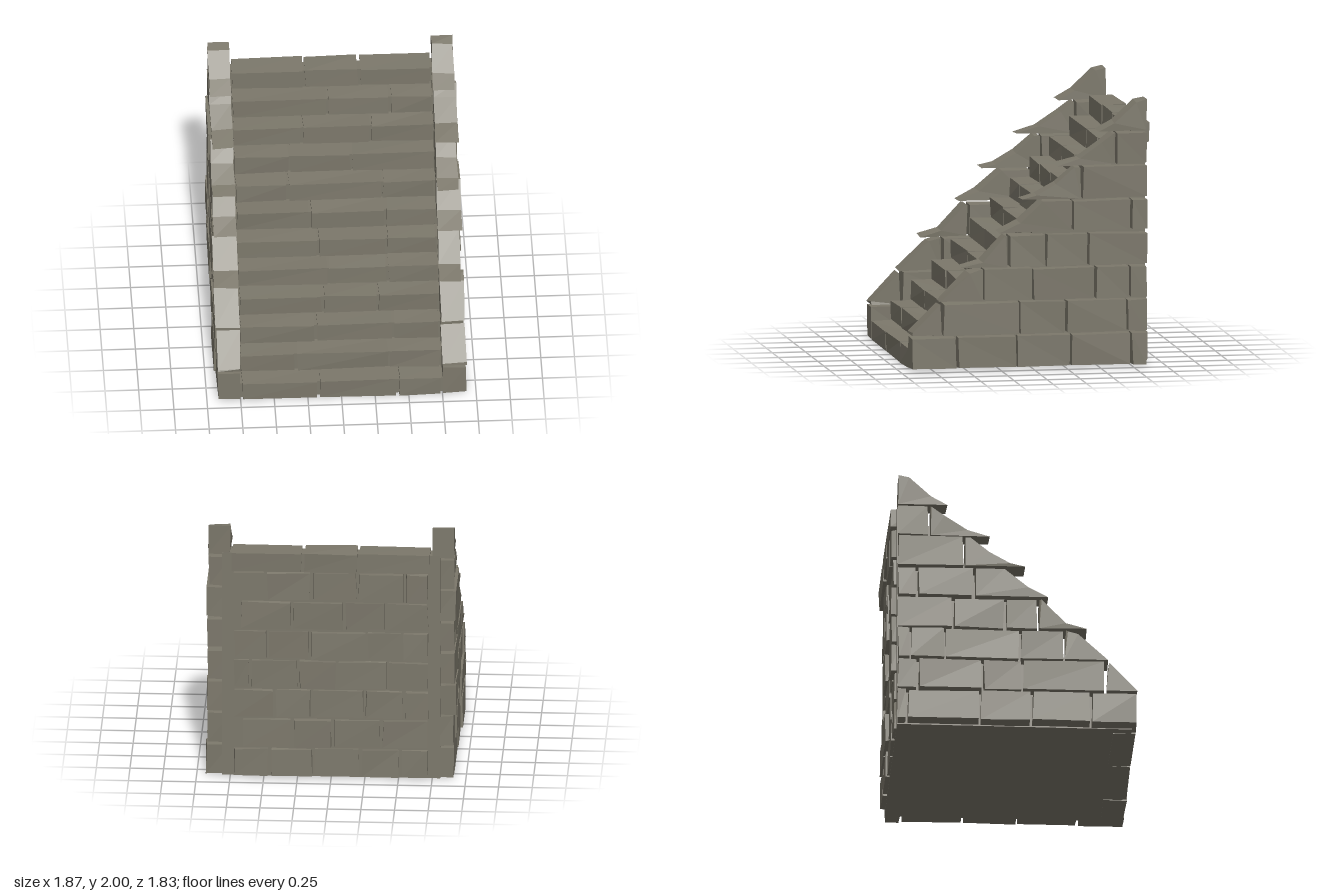
import * as THREE from 'three';

const stone = new THREE.MeshStandardMaterial({ color: 0x7c786b });
stone.name = 'weatheredStone';
stone.flatShading = true;

// Repeatable pseudo-random value in -1..1
const noise = (a, b, c, d) => {
  const s = Math.sin(a * 12.99 + b * 78.23 + c * 37.72 + d * 4.17) * 43758.55;
  return (s - Math.floor(s)) * 2 - 1;
};

let seed = 0;

// Extrudes a [z, y] outline from x0 to x1 and nudges its corners for a rough-hewn look
function block(name, outline, x0, x1, rough = 0.006) {
  const shape = new THREE.Shape(outline.map(([z, y]) => new THREE.Vector2(z, y)));
  const geo = new THREE.ExtrudeGeometry(shape, { depth: x1 - x0, bevelEnabled: false });
  geo.rotateY(-Math.PI / 2);
  geo.translate(x1, 0, 0);
  seed++;
  const p = geo.attributes.position;
  for (let i = 0; i < p.count; i++) {
    const v = [p.getX(i), p.getY(i), p.getZ(i)].map((n) => Math.round(n * 1000) / 1000);
    const [x, y, z] = v.map((n, k) => n + rough * noise(v[0], v[1], v[2], seed * 3 + k));
    p.setXYZ(i, x, THREE.MathUtils.clamp(y, 0, 2), z);
  }
  geo.computeVertexNormals();
  const mesh = new THREE.Mesh(geo, stone);
  mesh.name = name;
  return mesh;
}

const rect = (z0, z1, y0, y1) => [[z0, y0], [z1, y0], [z1, y1], [z0, y1]];

// Two joints across each step, bottom to top
const STEP_JOINTS = [
  [-0.17, 0.42], [-0.33, 0.36], [-0.18, 0.4], [-0.12, 0.29], [-0.07, 0.37], [-0.14, 0.37],
  [-0.19, 0.37], [-0.35, 0.35], [-0.33, 0.13], [-0.23, 0.28], [-0.03, 0.43], [-0.2, 0.21],
];
const stepFront = (i) => 0.91 - 0.149 * i;

// Side wall courses: sloping front edge [z, y] and joints towards the back
const COURSES = [
  { edge: [[0.91, 0.02], [0.91, 0.25]], joints: [0.57, 0.12, -0.29, -0.74] },
  { edge: [[0.91, 0.27], [0.91, 0.29], [0.7, 0.5]], joints: [0.68, 0.1, -0.25, -0.71] },
  { edge: [[0.7, 0.52], [0.48, 0.73], [0.4, 0.75]], joints: [0.37, 0, -0.47, -0.73] },
  { edge: [[0.54, 0.77], [0.38, 0.81], [0.2, 1]], joints: [0.18, -0.1, -0.42] },
  { edge: [[0.25, 1.03], [0.1, 1.1], [-0.07, 1.25]], joints: [-0.3, -0.74] },
  { edge: [[0.08, 1.27], [-0.03, 1.3], [-0.18, 1.38], [-0.32, 1.5]], joints: [-0.37] },
  { edge: [[-0.18, 1.52], [-0.35, 1.57], [-0.52, 1.68], [-0.61, 1.75]], joints: [-0.63] },
  { edge: [[-0.5, 1.77], [-0.62, 1.83], [-0.78, 1.98], [-0.86, 2]], joints: [] },
];

function buildCore() {
  // Stepped solid behind all the stones
  const outline = [[-0.865, 0.01]];
  for (let i = 0; i < 12; i++) {
    const z = stepFront(i) - 0.03;
    outline.push([z, i ? 0.15 * i - 0.015 : 0.01], [z, 0.15 * (i + 1) - 0.015]);
  }
  outline.push([-0.865, 1.785]);
  return block('mortarCore', outline, -0.81, 0.81, 0);
}

function buildSteps() {
  const steps = new THREE.Group();
  steps.name = 'steps';
  STEP_JOINTS.forEach((joints, i) => {
    const xs = [-0.745, ...joints, 0.745];
    const front = stepFront(i);
    const back = i === 11 ? -0.91 : front - 0.17;
    for (let k = 0; k < 3; k++) {
      const outline = rect(back, front, 0.15 * i + 0.007, 0.15 * (i + 1) + 0.002);
      steps.add(block('stepStone', outline, xs[k] + 0.01, xs[k + 1] - 0.01));
    }
  });
  return steps;
}

function buildSideWall(side, name) {
  const wall = new THREE.Group();
  wall.name = name;
  COURSES.forEach(({ edge, joints }, row) => {
    const y0 = edge[0][1], y1 = edge[edge.length - 1][1];
    const shifted = joints.map((z, k) => (side < 0 && k > 0 ? z + 0.06 * noise(row, k, 1, 2) : z));
    const zs = [...shifted, -0.86];
    const add = (label, outline) => {
      const outer = 0.918 + 0.01 * noise(row, outline.length, seed, side);
      const [x0, x1] = side > 0 ? [0.75, outer] : [-outer, -0.75];
      wall.add(block(label, outline, x0, x1));
    };
    // Sloping stone at the front, then plain stones to the back
    const back = zs[0] + (joints.length ? 0.01 : 0);
    const top = edge[edge.length - 1][0] - back < 0.01 ? [] : [[back, y1]];
    add('slopeStone', [[back, y0], ...edge, ...top]);
    for (let k = 0; k + 1 < zs.length; k++) {
      add('wallStone', rect(zs[k + 1] + (k + 2 < zs.length ? 0.01 : 0), zs[k] - 0.01, y0, y1));
    }
  });
  return wall;
}

function buildBackWall() {
  const wall = new THREE.Group();
  wall.name = 'backWall';
  for (let row = 0; row < 7; row++) {
    const y0 = 0.02 + row * 0.234;
    const offset = row % 2 ? 0.17 : 0;
    const xs = [-0.73];
    for (let k = 1; k < 5; k++) xs.push(-0.9 + k * 0.34 + offset + 0.05 * noise(row, k, 5, 7));
    xs.push(0.73);
    for (let k = 0; k + 1 < xs.length; k++) {
      if (xs[k + 1] - xs[k] < 0.08) continue;
      const depth = -0.892 + 0.016 * noise(row, k, 3, 9);
      wall.add(block('backStone', rect(depth, -0.85, y0, y0 + 0.212), xs[k] + 0.012, xs[k + 1] - 0.012));
    }
  }
  return wall;
}

export function createModel() {
  const model = new THREE.Group();
  model.name = 'stoneStaircase';
  model.add(
    buildCore(),
    buildSteps(),
    buildSideWall(1, 'leftWall'),
    buildSideWall(-1, 'rightWall'),
    buildBackWall(),
  );
  return model;
}
